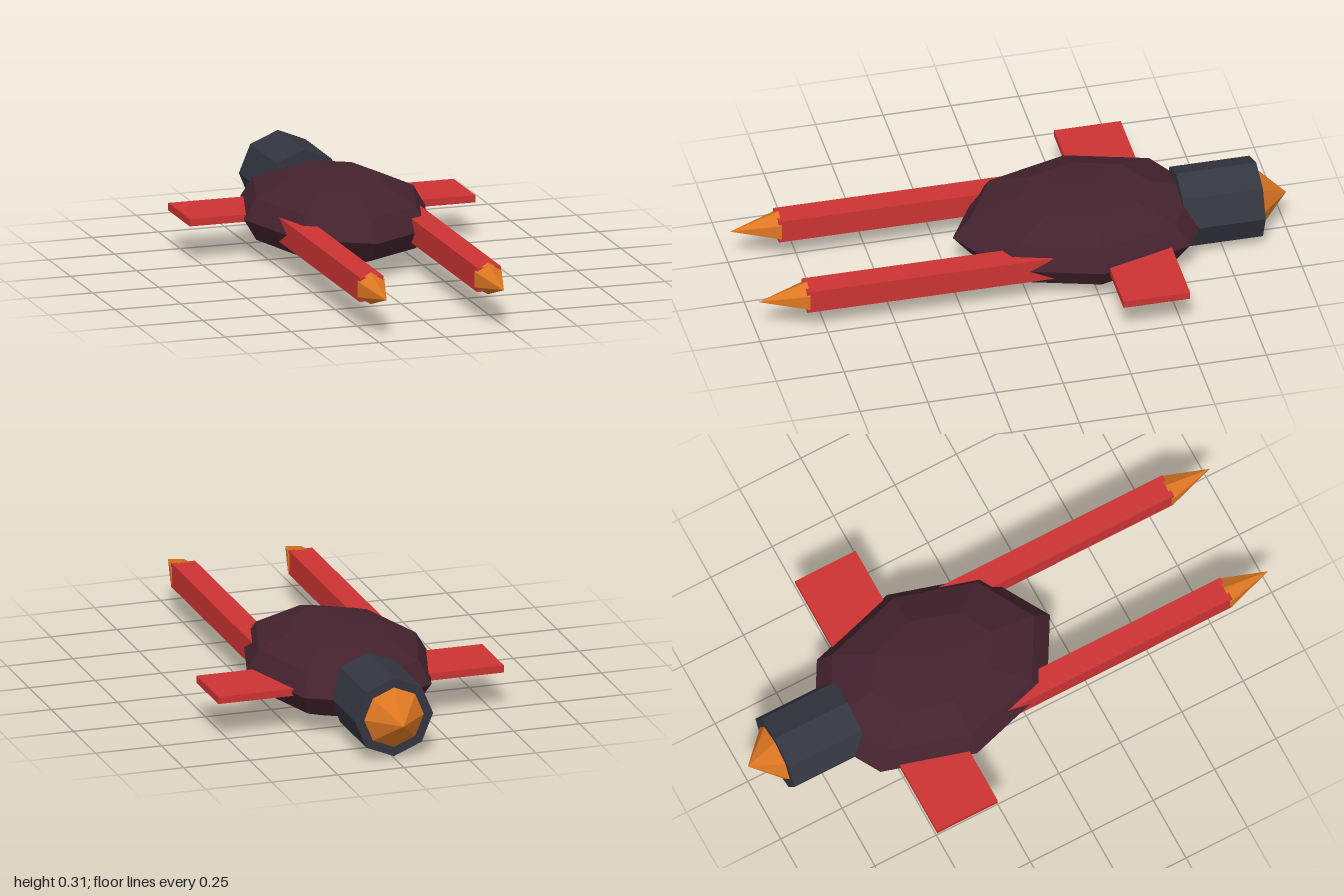
import * as THREE from 'three';

const hull = new THREE.MeshStandardMaterial({ color: 0x44222e });
hull.name = 'dark maroon hull';
const red = new THREE.MeshStandardMaterial({ color: 0xcc3333 });
red.name = 'red trim';
const slate = new THREE.MeshStandardMaterial({ color: 0x333540 });
slate.name = 'slate engine';
const orange = new THREE.MeshStandardMaterial({ color: 0xdd7722 });
orange.name = 'orange tips';

const MID = 0.156; // height of the centre line

// Adds a faceted mesh centred on the given x and z
function add(parent, name, geometry, material, x, z) {
  const faceted = geometry.toNonIndexed();
  faceted.computeVertexNormals();
  const mesh = new THREE.Mesh(faceted, material);
  mesh.name = name;
  mesh.position.set(x, MID, z);
  parent.add(mesh);
}

export function createModel() {
  const model = new THREE.Group();
  model.name = 'spacecraft';

  // Flattened faceted hull
  const body = new THREE.SphereGeometry(1, 8, 6).scale(0.343, 0.155, 0.48);
  add(model, 'hull', body, hull, 0, -0.25);

  // Rear engine and its exhaust cone
  const engine = new THREE.CylinderGeometry(0.148, 0.148, 0.296, 8).rotateX(Math.PI / 2);
  add(model, 'engine', engine, slate, 0, -0.742);
  const exhaust = new THREE.ConeGeometry(0.113, 0.11, 8).rotateX(-Math.PI / 2);
  add(model, 'exhaust', exhaust, orange, 0, -0.945);

  // Mirrored wings, prongs and prong tips
  for (const [side, s] of [['left', 1], ['right', -1]]) {
    add(model, side + 'Wing', new THREE.BoxGeometry(0.34, 0.027, 0.246), red, s * 0.371, -0.395);
    add(model, side + 'Prong', new THREE.BoxGeometry(0.09, 0.09, 0.95), red, s * 0.222, 0.355);
    const tip = new THREE.ConeGeometry(0.059, 0.18, 6).rotateX(Math.PI / 2);
    add(model, side + 'ProngTip', tip, orange, s * 0.222, 0.91);
  }
  return model;
}
